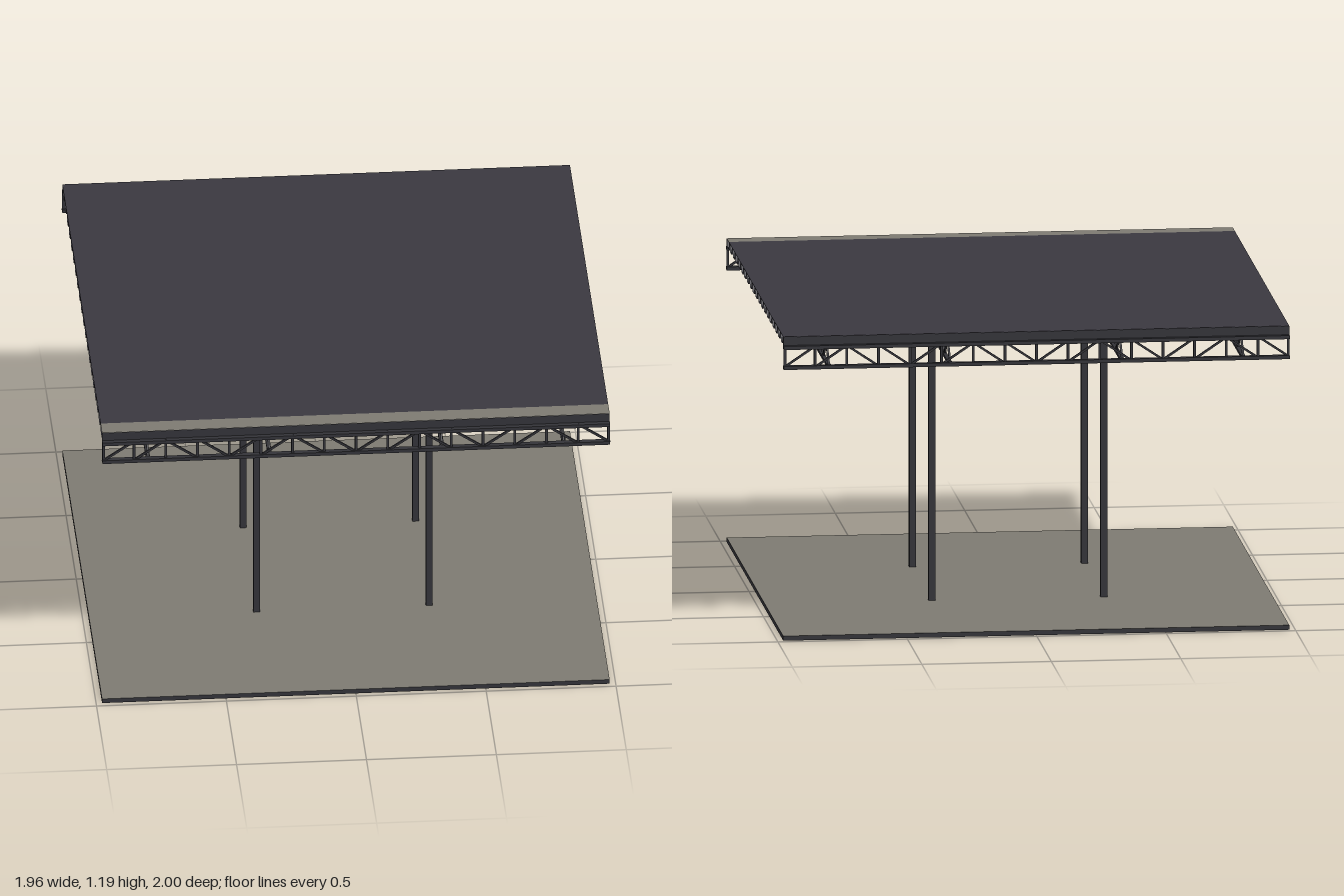
import * as THREE from 'three';

const mat = (name, color, side = THREE.FrontSide) => {
  const m = new THREE.MeshStandardMaterial({ color, side });
  m.name = name;
  return m;
};

export function createModel() {
  const root = new THREE.Group();
  root.name = 'canopy';
  const grey = mat('concreteGrey', 0x7d7a72);
  const steel = mat('darkSteel', 0x333338);
  const roof = mat('roofSheet', 0x3a3840, THREE.DoubleSide);

  const box = (parent, name, size, pos, material) => {
    const m = new THREE.Mesh(new THREE.BoxGeometry(...size), material);
    m.name = name;
    m.position.set(...pos);
    parent.add(m);
    return m;
  };
  // Square bar between two points
  const bar = (parent, name, a, b, t, material = steel) => {
    const p = new THREE.Vector3(...a), q = new THREE.Vector3(...b);
    const m = box(parent, name, [t, t, p.distanceTo(q)], p.clone().add(q).multiplyScalar(0.5).toArray(), material);
    m.lookAt(q);
    return m;
  };
  const group = (name) => {
    const g = new THREE.Group();
    g.name = name;
    root.add(g);
    return g;
  };

  const X = 0.977, Z = 0.978, LOW = 1.07, HIGH = 1.152, TOP = 1.188;

  // Floor slab with a dark rim
  box(root, 'floorSlab', [2 * X, 0.018, 2 * Z], [0, 0.009, 0], [steel, steel, grey, grey, steel, steel]);

  // Four columns
  for (const x of [-0.332, 0.332])
    for (const z of [-0.332, 0.332])
      box(root, 'column', [0.026, TOP - 0.02, 0.026], [x, (TOP + 0.016) / 2, z], steel);

  // Edge trusses along the front and back, with posts and diagonals
  const panels = 16, step = 2 * X / panels;
  for (const z of [-0.988, 0.988]) {
    const g = group(z > 0 ? 'frontTruss' : 'backTruss');
    box(g, 'topChord', [2 * X, 0.014, 0.022], [0, HIGH - 0.004, z], steel);
    box(g, 'bottomChord', [2 * X, 0.014, 0.022], [0, LOW, z], steel);
    for (let i = 0; i <= panels; i++) {
      const x = -X + i * step;
      const inset = i === 0 ? 0.005 : i === panels ? -0.005 : 0;
      box(g, 'post', [0.01, HIGH - LOW, 0.01], [x + inset, (HIGH + LOW) / 2, z], steel);
      if (i === panels) continue;
      const rising = i % 4 < 2;
      bar(g, 'diagonal', [x, rising ? LOW : HIGH, z], [x + step, rising ? HIGH : LOW, z], 0.008);
    }
  }

  // Zigzag trusses running front to back under the roof
  const waves = 10, pitch = 2 * Z / waves;
  for (const x of [-0.8, -0.332, 0.332, 0.8]) {
    const g = group('crossTruss');
    box(g, 'topChord', [0.016, 0.01, 2 * Z], [x, HIGH, 0], grey);
    box(g, 'bottomChord', [0.016, 0.01, 2 * Z], [x, LOW, 0], steel);
    for (let i = 0; i < waves; i++) {
      const z = -Z + i * pitch;
      bar(g, 'diagonal', [x, LOW, z], [x, HIGH, z + pitch / 2], 0.008);
      bar(g, 'diagonal', [x, HIGH, z + pitch / 2], [x, LOW, z + pitch], 0.008);
    }
  }

  // Corrugated decking: trapezoid ribs running side to side
  const ribs = 20, w = 2 * Z / ribs, section = [];
  for (let i = 0; i < ribs; i++)
    for (const [f, y] of [[0, TOP - 0.003], [0.2, TOP - 0.003], [0.35, 1.157], [0.8, 1.157], [0.95, TOP - 0.003]])
      section.push([y, -Z + (i + f) * w]);
  section.push([TOP - 0.003, Z]);
  const pos = [];
  for (let i = 0; i < section.length - 1; i++) {
    const [y0, z0] = section[i], [y1, z1] = section[i + 1];
    pos.push(-X, y0, z0, -X, y1, z1, X, y1, z1, -X, y0, z0, X, y1, z1, X, y0, z0);
  }
  const ribGeo = new THREE.BufferGeometry();
  ribGeo.setAttribute('position', new THREE.Float32BufferAttribute(pos, 3));
  ribGeo.computeVertexNormals();
  const decking = new THREE.Mesh(ribGeo, roof);
  decking.name = 'corrugatedDecking';
  root.add(decking);

  // Flat roof sheet, grey front strip and thin end fascias
  const split = 0.905;
  box(root, 'roofSheet', [2 * X, 0.002, split + Z], [0, TOP, (split - Z) / 2], roof);
  box(root, 'frontStrip', [2 * X, 0.002, Z - split], [0, TOP, (split + Z) / 2], grey);
  for (const z of [-Z, Z])
    box(root, 'fascia', [2 * X, TOP - HIGH, 0.003], [0, (TOP + HIGH) / 2, z], steel);

  return root;
}
